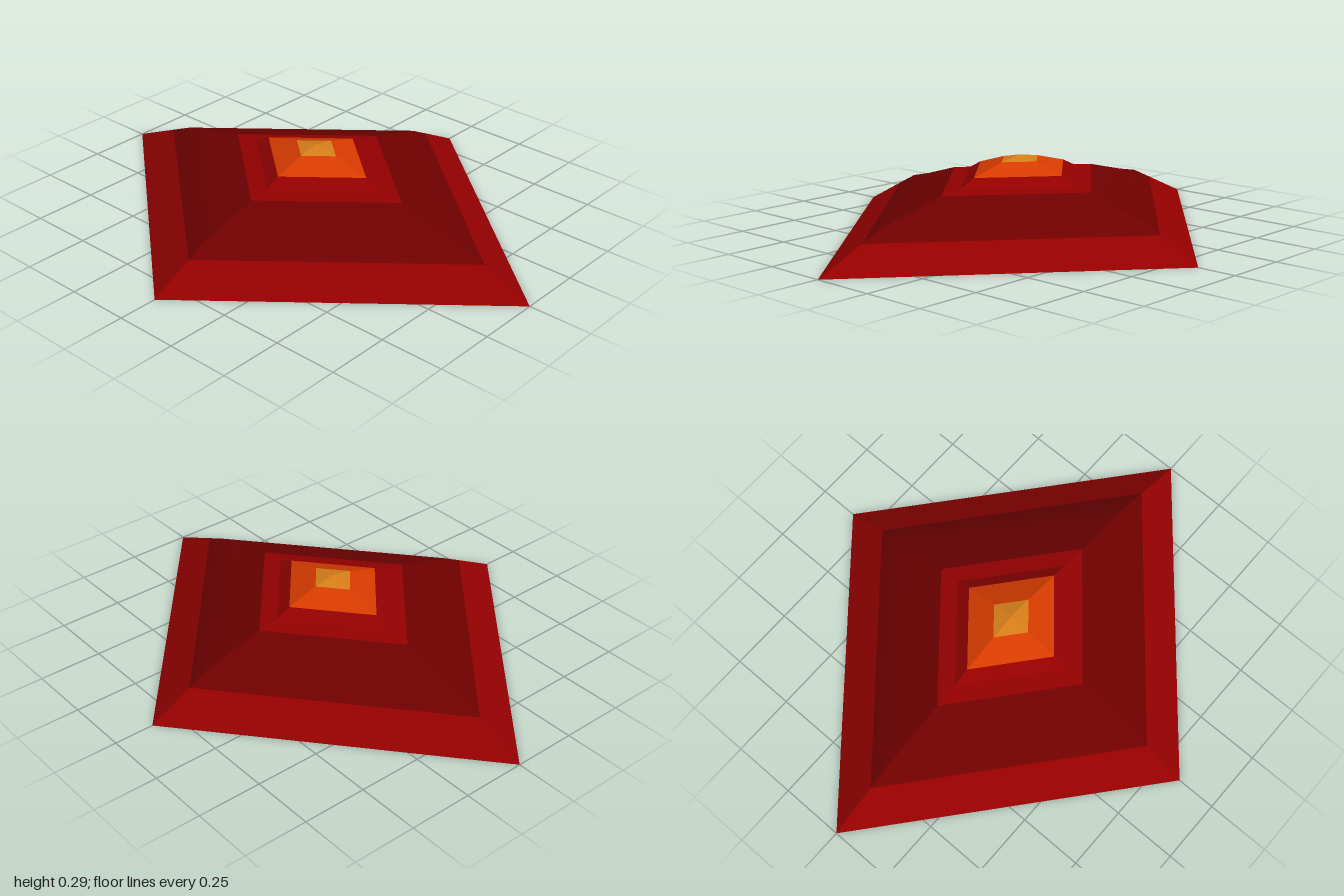
import * as THREE from 'three';

const HALF_WIDTH = 0.845; // x half-diagonal; the z half-diagonal is 1

const material = (name, color) => {
  const m = new THREE.MeshStandardMaterial({ color });
  m.name = name;
  return m;
};

// Rhombus pyramid band: profile of [fraction of full size, height], outside to inside.
// The four sides share no vertices, so the ridges stay sharp.
function bandGeometry(profile, smooth) {
  const positions = [], index = [];
  for (let side = 0; side < 4; side++) {
    const start = positions.length / 3;
    for (const [t, y] of profile) {
      for (const corner of [side, side + 1]) {
        const a = corner * Math.PI / 2;
        positions.push(HALF_WIDTH * t * Math.cos(a), y, -t * Math.sin(a));
      }
    }
    for (let i = 0; i < profile.length - 1; i++) {
      const a = start + i * 2;
      index.push(a, a + 1, a + 2);
      if (profile[i + 1][0] > 0) index.push(a + 1, a + 3, a + 2);
    }
  }
  let geometry = new THREE.BufferGeometry();
  geometry.setAttribute('position', new THREE.Float32BufferAttribute(positions, 3));
  geometry.setIndex(index);
  if (!smooth) geometry = geometry.toNonIndexed();
  geometry.computeVertexNormals();
  return geometry;
}

export function createModel() {
  const group = new THREE.Group();
  group.name = 'rhombusGem';
  const red = material('red', 0x940000);
  const darkRed = material('dark red', 0x6f0000);
  const deepRed = material('deep red', 0x8b0000);
  const orange = material('orange', 0xd83c00);
  const gold = material('gold', 0xd87f1a);

  // Stepped bands from the rim up to the peak
  const bands = [
    ['rim', red, [[1, 0], [0.8, 0.087]], false],
    ['body', darkRed, [[0.8, 0.087], [0.7, 0.13], [0.6, 0.15], [0.42, 0.195]], true],
    ['collar', red, [[0.42, 0.195], [0.32, 0.206], [0.25, 0.237]], false],
    ['crown', orange, [[0.25, 0.237], [0.1, 0.275]], false],
    ['peak', gold, [[0.1, 0.275], [0, 0.292]], false],
    // Flat underside, wound to face down
    ['underside', deepRed, [[0, 0], [1, 0]], false],
  ];
  for (const [name, mat, profile, smooth] of bands) {
    const mesh = new THREE.Mesh(bandGeometry(profile, smooth), mat);
    mesh.name = name;
    group.add(mesh);
  }
  return group;
}
